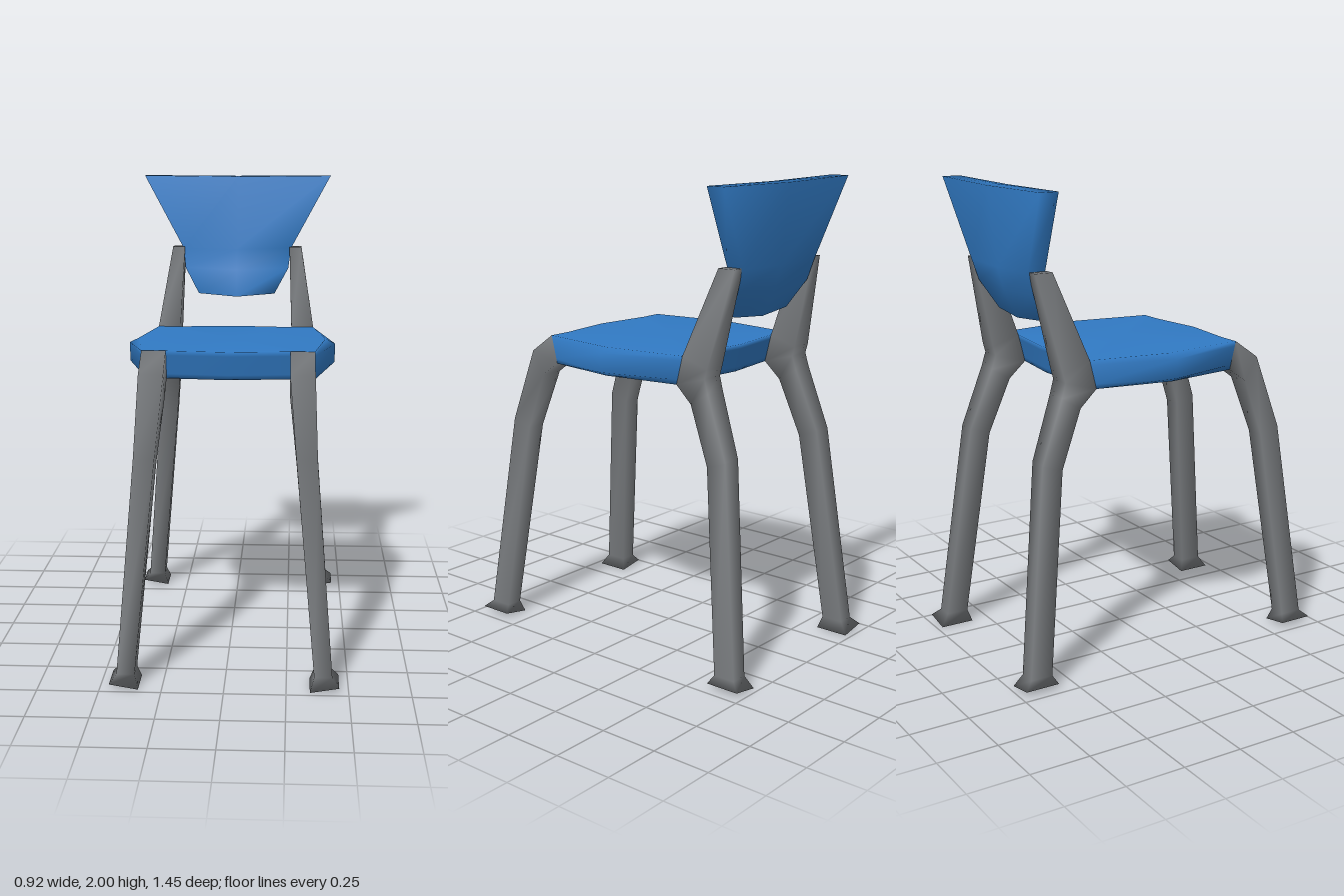
import * as THREE from 'three';

const shellBlue = new THREE.MeshStandardMaterial({ name: 'shellBlue', color: 0x317ac4 });
const legGrey = new THREE.MeshStandardMaterial({ name: 'legGrey', color: 0x7a7d80 });

// Smooth skin over rings of points, listed bottom to top, each counter-clockwise from above.
function loft(rings, { bottom = true, top = true, skip = () => false } = {}) {
  const n = rings[0].length;
  const points = rings.flat();
  const index = [];
  for (let i = 0; i < rings.length - 1; i++) {
    for (let j = 0; j < n; j++) {
      if (skip(j)) continue;
      const k = (j + 1) % n;
      const a = i * n + j, b = i * n + k, c = b + n, d = a + n;
      index.push(a, b, c, a, c, d);
    }
  }
  const cap = (start, up) => {
    const centre = points.length;
    const ring = points.slice(start, start + n);
    points.push([0, 1, 2].map((axis) => ring.reduce((sum, p) => sum + p[axis], 0) / n));
    for (let j = 0; j < n; j++) {
      const a = start + j, b = start + ((j + 1) % n);
      index.push(centre, up ? a : b, up ? b : a);
    }
  };
  if (bottom) cap(0, false);
  if (top) cap((rings.length - 1) * n, true);
  const geometry = new THREE.BufferGeometry();
  geometry.setAttribute('position', new THREE.Float32BufferAttribute(points.flat(), 3));
  geometry.setIndex(index);
  geometry.computeVertexNormals();
  return geometry;
}

function part(name, geometry, material) {
  const mesh = new THREE.Mesh(geometry, material);
  mesh.name = name;
  return mesh;
}

// Four-sided leg; each section is [inner x, outer x, far z, far y, near z, near y].
function leg(sections, sx, sz, options) {
  const rings = sections.map(([xi, xo, zf, yf, zn, yn]) => {
    const ring = [[xi, yf, zf], [xo, yf, zf], [xo, yn, zn], [xi, yn, zn]]
      .map(([x, y, z]) => [x * sx, y, z * sz]);
    return sx * sz < 0 ? ring.reverse() : ring;
  });
  // Foot pad, its outer edge slightly raised
  rings[0].forEach((p) => { p[1] = Math.abs(p[0]) > 0.4 ? 0.02 : 0; });
  return loft(rings, options);
}

// Flared foot and shin shared by all legs
const shin = [
  [0.345, 0.462, 0.725, 0, 0.577, 0],
  [0.362, 0.435, 0.69, 0.05, 0.593, 0.05],
  [0.283, 0.368, 0.587, 0.92, 0.497, 0.89],
];
const frontSections = [
  ...shin,
  [0.255, 0.357, 0.472, 1.24, 0.413, 1.14],
  [0.255, 0.355, 0.36, 1.32, 0.33, 1.2],
];
const backSections = [
  ...shin,
  [0.258, 0.357, 0.49, 1.18, 0.405, 1.13],
  [0.255, 0.355, 0.472, 1.24, 0.33, 1.2],
  [0.255, 0.355, 0.483, 1.28, 0.36, 1.32],
  [0.243, 0.298, 0.57, 1.675, 0.492, 1.675],
];

// Seat outline; the sides bulge and are softly bevelled
function seatRing(y, side) {
  const depth = THREE.MathUtils.mapLinear(y, 1.2, 1.32, 0.33, 0.36);
  const quarter = [[0.255, depth], [0.355, depth]];
  const tip = depth + 0.03;
  const right = [[0, tip], ...quarter, [side, 0],
    [0.355, -depth], [0.255, -depth]];
  const left = right.map(([x, z]) => [-x, -z]);
  return [...right, ...left].map(([x, z]) => [x, y, z]);
}

// Backrest section: [half width, y, centre y, front z, rear z]
function backRing([w, y, yc, zf, zr]) {
  return [[-w, y, zf], [0, yc, zf + 0.005], [w, y, zf],
    [w, y, zr], [0, yc, zr - 0.005], [-w, y, zr]];
}

export function createModel() {
  const chair = new THREE.Group();
  chair.name = 'chair';

  // Open at the corner walls, where the legs close it
  const seatRings = [[1.2, 0.405], [1.22, 0.445], [1.3, 0.445], [1.32, 0.405]]
    .map(([y, side]) => seatRing(y, side));
  chair.add(part('seat', loft(seatRings, { skip: (j) => j % 3 === 1 }), shellBlue));

  const backRings = [
    [0.175, 1.465, 1.45, -0.44, -0.49],
    [0.238, 1.58, 1.57, -0.47, -0.55],
    [0.25, 1.67, 1.665, -0.5, -0.577],
    [0.43, 2.0, 1.995, -0.535, -0.615],
  ].map(backRing);
  chair.add(part('backrest', loft(backRings), shellBlue));

  for (const [side, sx] of [['left', 1], ['right', -1]]) {
    chair.add(part(side + 'FrontLeg', leg(frontSections, sx, 1, { top: false }), legGrey));
    chair.add(part(side + 'BackLeg', leg(backSections, sx, -1), legGrey));
  }
  return chair;
}
